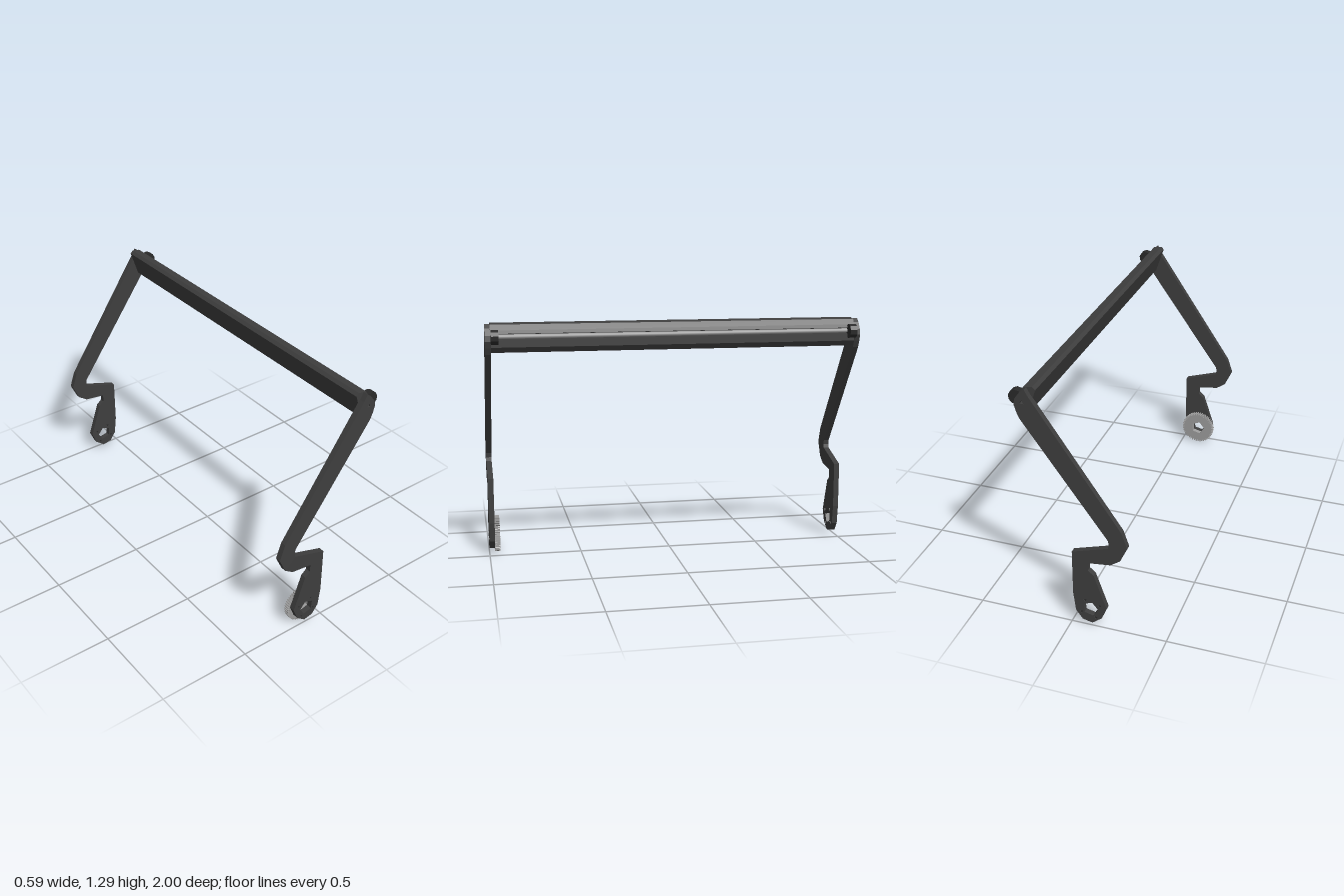
import * as THREE from 'three';

const HUB = [-0.1, 0.1];

const shapeOf = (pts) => new THREE.Shape(pts.map(([x, y]) => new THREE.Vector2(x, y)));

// Regular polygon as a list of points
function ring(cx, cy, r, n, turn = 0) {
  return Array.from({ length: n }, (_, i) => {
    const a = turn + (i / n) * Math.PI * 2;
    return [cx + r * Math.cos(a), cy + r * Math.sin(a)];
  });
}

// Flat-sided slab of an xy outline between two depths
function slab(name, pts, z0, z1, material, holes = []) {
  const shape = shapeOf(pts);
  holes.forEach((h) => shape.holes.push(shapeOf(h)));
  const geo = new THREE.ExtrudeGeometry(shape, { depth: z1 - z0, bevelEnabled: false });
  geo.translate(0, 0, z0);
  const mesh = new THREE.Mesh(geo, material);
  mesh.name = name;
  return mesh;
}

export function createModel() {
  const group = new THREE.Group();
  group.name = 'foldingHandle';

  const mat = (name, color) => {
    const m = new THREE.MeshStandardMaterial({ color });
    m.name = name;
    return m;
  };
  const dark = mat('darkPlastic', 0x3e3e3e);
  const black = mat('blackRubber', 0x2a2a2a);
  const metal = mat('greyMetal', 0x9c9c9c);

  // Cranked side arm outline, from the top end clockwise
  const arm = [
    [0.2, 1.285], [0.225, 1.265], [0.25, 1.23], [0.255, 1.2], [0.245, 1.165], [0.23, 1.13],
    [-0.2, 0.535], [-0.203, 0.51], [-0.198, 0.49], [-0.01, 0.43],
    [-0.01, 0.18], [-0.023, 0.075], [-0.058, 0.027], [-0.11, 0.015],
    [-0.16, 0.055], [-0.187, 0.12], [-0.122, 0.31], [-0.092, 0.335], [-0.093, 0.38],
    [-0.21, 0.395], [-0.26, 0.43], [-0.297, 0.51], [-0.268, 0.595], [0.18, 1.25],
  ];
  const hubHole = ring(HUB[0], HUB[1], 0.042, 5, 0.55);
  const boltCentres = ring(HUB[0], HUB[1], 0.056, 4, 1.05);
  const boltHoles = boltCentres.map(([x, y]) => ring(x, y, 0.011, 3, 0.5));
  const pinHole = ring(0.215, 1.215, 0.012, 3, -0.5);

  for (const [side, z0, z1] of [['front', 0.97, 1], ['back', -1, -0.97]]) {
    group.add(slab(side + 'Arm', arm, z0, z1, dark, [hubHole, pinHole, ...boltHoles]));
    // Bolts recessed in the hub
    boltHoles.forEach((h, i) =>
      group.add(slab(`${side}Bolt${i + 1}`, h, z0 + 0.005, z1 - 0.005, black)));
    // Round end knob beside each arm
    const mid = Math.sign(z0) * 0.951;
    const knob = ring(0.258, 1.222, 0.038, 10, 0.2);
    group.add(slab(side + 'Knob', knob, mid - 0.019, mid + 0.019, black));
  }

  // Cross bar: channel section open towards +x
  const bar = [
    [0.155, 1.275], [0.17, 1.29], [0.215, 1.283], [0.234, 1.255], [0.24, 1.238],
    [0.222, 1.236], [0.222, 1.208], [0.245, 1.206], [0.245, 1.168], [0.225, 1.14],
    [0.2, 1.14],
  ];
  group.add(slab('crossBar', bar, -0.972, 0.972, dark));

  // Rod lying in the channel
  const rodGeo = new THREE.CylinderGeometry(0.012, 0.012, 1.9, 10);
  rodGeo.rotateX(Math.PI / 2);
  const rod = new THREE.Mesh(rodGeo, metal);
  rod.name = 'channelRod';
  rod.position.set(0.23, 1.222, 0);
  group.add(rod);

  // Toothed wheel on the inner face of the front arm
  const teeth = 48;
  const rim = [];
  for (let i = 0; i < teeth; i++) {
    [[0, 0.09], [0.3, 0.09], [0.45, 0.1], [0.8, 0.1]].forEach(([t, r]) => {
      const a = ((i + t) / teeth) * Math.PI * 2;
      rim.push([HUB[0] + r * Math.cos(a), HUB[1] + r * Math.sin(a)]);
    });
  }
  group.add(slab('gear', rim, 0.942, 0.97, metal, [hubHole]));

  return group;
}
